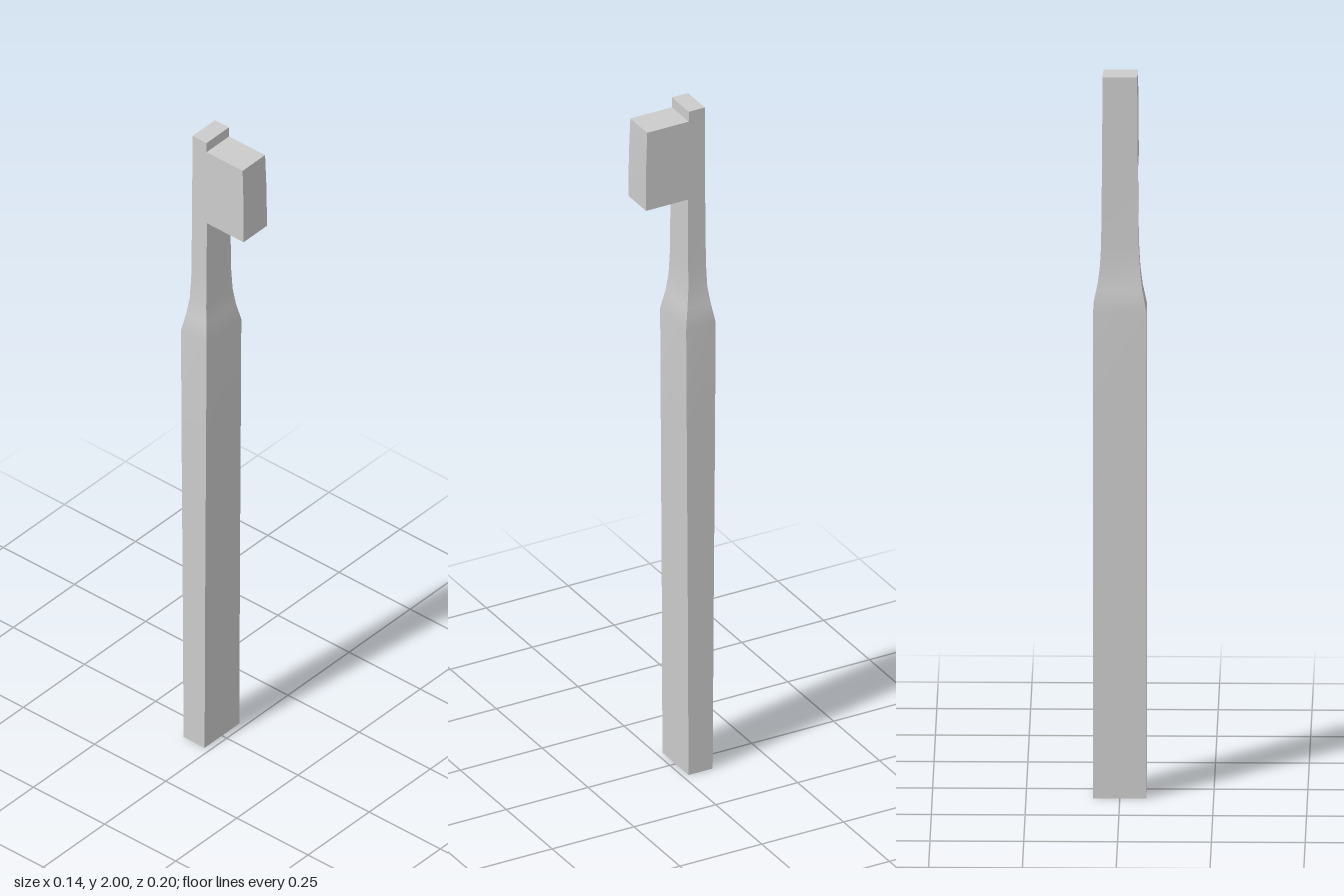
import * as THREE from 'three';

// Box whose horizontal rows follow sections of [y, halfWidth, zBack, zFront]
function loftedBox(name, sections, material) {
  const rows = sections.length - 1;
  const geometry = new THREE.BoxGeometry(1, 1, 1, 1, rows, 1);
  const p = geometry.attributes.position;
  for (let i = 0; i < p.count; i++) {
    const [y, half, back, front] = sections[Math.round((p.getY(i) + 0.5) * rows)];
    p.setXYZ(i, Math.sign(p.getX(i)) * half, y, p.getZ(i) > 0 ? front : back);
  }
  geometry.computeVertexNormals(); // smooth along the length, sharp at the corners
  const mesh = new THREE.Mesh(geometry, material);
  mesh.name = name;
  return mesh;
}

export function createModel() {
  const group = new THREE.Group();
  group.name = 'toothbrush';
  const material = new THREE.MeshStandardMaterial({ color: 0xcccccc });

  // Handle, shoulder, neck and head backing in one piece
  group.add(loftedBox('handle', [
    [0, 0.071, -0.091, -0.017],
    [0.5, 0.071, -0.094, -0.015],
    [1.0, 0.071, -0.098, -0.012],
    [1.355, 0.071, -0.1, -0.01],
    [1.41, 0.06, -0.091, -0.02],
    [1.46, 0.054, -0.084, -0.026],
    [1.53, 0.05, -0.082, -0.028],
    [1.72, 0.048, -0.081, -0.029],
    [2, 0.046, -0.081, -0.032],
  ], material));

  // Bristle block on the front of the head
  group.add(loftedBox('bristles', [
    [1.735, 0.048, -0.035, 0.1],
    [1.86, 0.047, -0.035, 0.099],
    [1.97, 0.046, -0.035, 0.095],
  ], material));

  return group;
}
